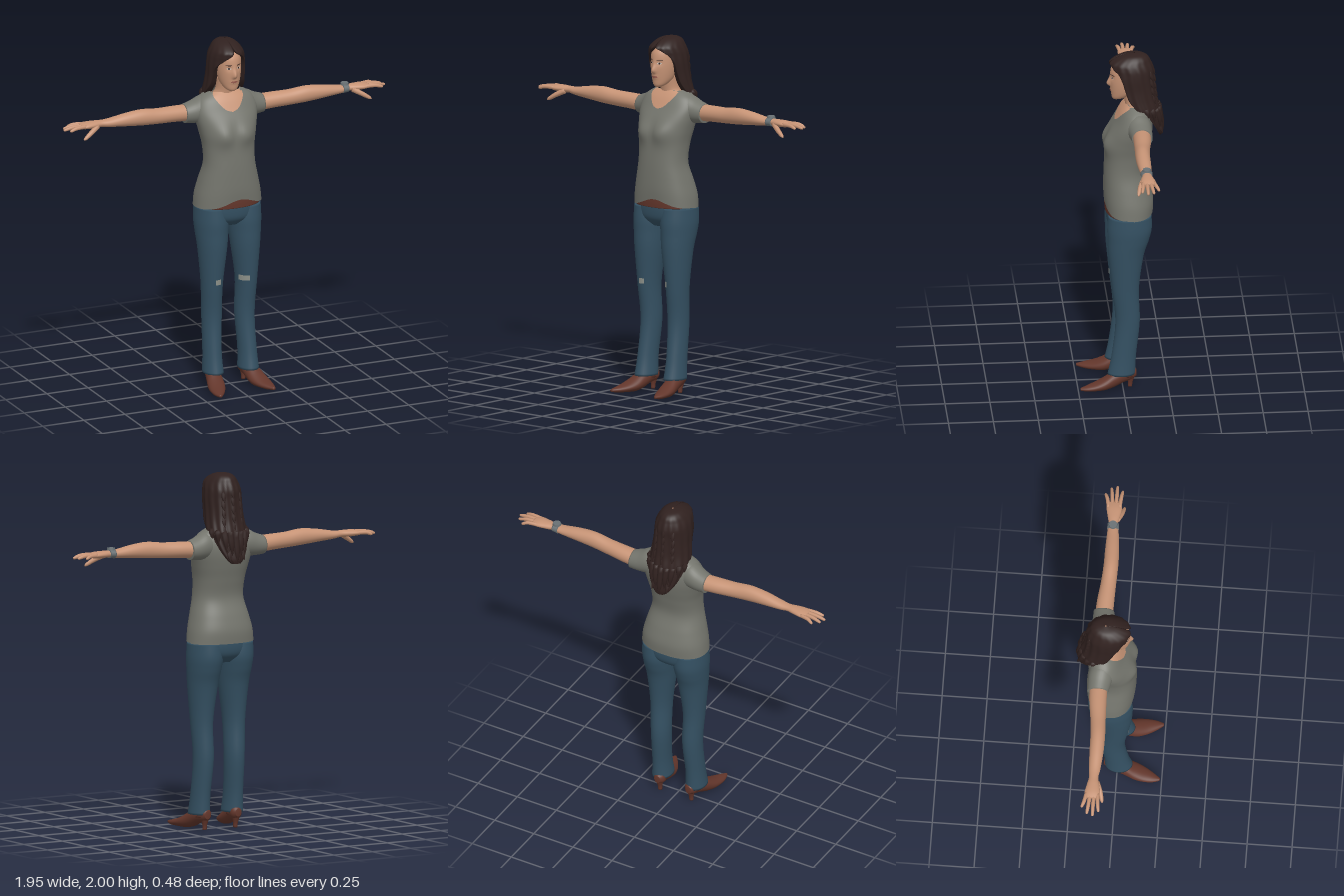
import * as THREE from 'three';

const material = (name, color, side = THREE.FrontSide) => {
  const m = new THREE.MeshStandardMaterial({ color, side });
  m.name = name;
  return m;
};
const rad = THREE.MathUtils.degToRad;
const bell = (v, width) => Math.exp(-((v / width) ** 2));

// Smoothly fills in steps between the given cross-section rows.
function dense(rows, k = 6) {
  const out = [];
  const at = (i) => rows[Math.min(Math.max(i, 0), rows.length - 1)];
  for (let i = 0; i < rows.length - 1; i++) {
    for (let s = 0; s < k; s++) {
      const t = s / k;
      out.push(rows[i].map((b, c) => {
        const a = at(i - 1)[c], n = at(i + 1)[c], d = at(i + 2)[c];
        return 0.5 * (2 * b + (n - a) * t + (2 * a - 5 * b + 4 * n - d) * t * t + (3 * b - a - 3 * n + d) * t ** 3);
      }));
    }
  }
  out.push(rows[rows.length - 1]);
  return out;
}

// Joins rings of points into a surface; side -1 mirrors it in x.
function skinRings(rings, { closed = true, caps = true, side = 1 } = {}) {
  const n = rings[0].length, pos = [], index = [];
  const tri = (a, b, c) => (side > 0 ? index.push(a, b, c) : index.push(a, c, b));
  rings.flat().forEach((p) => pos.push(p.x * side, p.y, p.z));
  for (let i = 0; i < rings.length - 1; i++) {
    for (let j = 0; j < (closed ? n : n - 1); j++) {
      const a = i * n + j, b = i * n + ((j + 1) % n);
      tri(a, b, b + n);
      tri(a, b + n, a + n);
    }
  }
  if (caps) {
    [0, rings.length - 1].forEach((r) => {
      const mid = rings[r].reduce((s, p) => s.add(p), new THREE.Vector3()).divideScalar(n);
      const c = pos.length / 3;
      pos.push(mid.x * side, mid.y, mid.z);
      for (let j = 0; j < n; j++) {
        const a = r * n + j, b = r * n + ((j + 1) % n);
        if (r === 0) tri(c, b, a); else tri(c, a, b);
      }
    });
  }
  const g = new THREE.BufferGeometry();
  g.setAttribute('position', new THREE.Float32BufferAttribute(pos, 3));
  g.setIndex(index);
  g.computeVertexNormals();
  return g;
}

// Rows are [position on axis, centre 1, centre 2, radius 1, radius 2].
function loft(rows, axis, { n = 32, e = 2, bend, ...rest } = {}) {
  const pw = (v) => Math.sign(v) * Math.abs(v) ** (2 / e);
  const rings = dense(rows).map(([p, c1, c2, r1, r2]) => Array.from({ length: n }, (_, j) => {
    const t = (j / n) * Math.PI * 2, c = pw(Math.cos(t)), s = pw(Math.sin(t));
    const v = axis === 'y' ? new THREE.Vector3(c1 + r1 * s, p, c2 + r2 * c)
      : axis === 'x' ? new THREE.Vector3(p, c1 + r1 * c, c2 + r2 * s)
        : new THREE.Vector3(c1 + r1 * c, c2 + r2 * s, p);
    if (bend) bend(v, c);
    return v;
  }));
  return skinRings(rings, rest);
}

// Round tapered limb through points [x, y, z, radius].
function limb(points, side = 1, n = 8) {
  const rows = dense(points, 3), v = rows.map((r) => new THREE.Vector3(r[0], r[1], r[2]));
  const whole = v[v.length - 1].clone().sub(v[0]).normalize();
  const ref = Math.abs(whole.y) > 0.7 ? new THREE.Vector3(1, 0, 0) : new THREE.Vector3(0, 1, 0);
  const rings = v.map((p, i) => {
    const d = v[Math.min(i + 1, v.length - 1)].clone().sub(v[Math.max(i - 1, 0)]).normalize();
    const u = ref.clone().addScaledVector(d, -ref.dot(d)).normalize(), w = d.clone().cross(u);
    return Array.from({ length: n }, (_, j) => {
      const t = (j / n) * Math.PI * 2;
      return p.clone().addScaledVector(u, rows[i][3] * Math.cos(t)).addScaledVector(w, rows[i][3] * Math.sin(t));
    });
  });
  return skinRings(rings, { side });
}

// Front depth of an upright loft at (x, y).
function frontZ(rows, x, y, e, bump) {
  const d = dense(rows);
  let i = d.findIndex((r) => r[0] >= y);
  i = i < 0 ? d.length - 1 : Math.max(i, 1);
  const t = THREE.MathUtils.clamp((y - d[i - 1][0]) / (d[i][0] - d[i - 1][0]), 0, 1);
  const [, , cz, rx, rz] = d[i].map((b, c) => THREE.MathUtils.lerp(d[i - 1][c], b, t));
  return cz + rz * Math.max(0, 1 - Math.abs(x / rx) ** e) ** (1 / e) + bump(x, y);
}

// Thin painted face: place(u, v) puts each corner, u and v from 0 to 1.
function patch(place, nu = 16, nv = 10) {
  const g = new THREE.PlaneGeometry(1, 1, nu, nv), p = g.attributes.position;
  for (let i = 0; i < p.count; i++) p.setXYZ(i, ...place(p.getX(i) + 0.5, p.getY(i) + 0.5));
  g.computeVertexNormals();
  return g;
}

export function createModel() {
  const model = new THREE.Group();
  const skin = material('skin', 0xc69375), shirt = material('grey shirt', 0x74756d, THREE.DoubleSide);
  const denim = material('blue denim', 0x34506280 >>> 8), leather = material('brown leather', 0x63362b);
  const hairMat = material('dark brown hair', 0x30211f, THREE.DoubleSide), worn = material('worn denim', 0x8b8f88);
  const metal = material('watch metal', 0x697174), white = material('eye white', 0xcfc6bd);
  const lip = material('lips', 0x9c5f52);
  denim.color.set(0x345062);
  const add = (name, geometry, mat, parent = model) => {
    const m = new THREE.Mesh(geometry, mat);
    m.name = name;
    parent.add(m);
    return m;
  };

  // Shirt body, with the hem lifted at the front
  const torso = [[1.05, 0, -0.039, 0.196, 0.134], [1.12, 0, -0.038, 0.188, 0.137], [1.2, 0, -0.028, 0.17, 0.128],
    [1.3, 0, -0.014, 0.147, 0.112], [1.4, 0, -0.025, 0.148, 0.116], [1.48, 0, -0.04, 0.163, 0.12],
    [1.55, 0, -0.055, 0.178, 0.117], [1.61, 0, -0.07, 0.183, 0.1], [1.66, 0, -0.078, 0.16, 0.08],
    [1.69, 0, -0.083, 0.118, 0.061], [1.7, 0, -0.084, 0.09, 0.052]];
  const bust = (x, y) => 0.027 * bell(Math.abs(x) - 0.065, 0.06) * bell(y - 1.475, 0.06);
  add('shirt', loft(torso, 'y', { n: 64, e: 2.3, caps: false, bend: (v, c) => {
    if (c <= 0) return;
    v.z += bust(v.x, v.y) * Math.min(1, c * 3);
    v.y += 0.05 * bell(v.x - 0.025, 0.11) * Math.max(0, 1 - (v.y - 1.05) / 0.15);
  } }), shirt);
  add('neckline', patch((u, v) => {
    const y = 1.6 + 0.1 * v, x = (u - 0.5) * 2 * Math.min(0.1 * Math.sqrt(v), 0.088);
    return [x, y, frontZ(torso, x, y, 2.3, bust) + 0.004];
  }), skin);
  add('neck', loft([[1.62, 0, -0.08, 0.09, 0.055], [1.67, 0, -0.078, 0.076, 0.055], [1.71, 0, -0.07, 0.053, 0.052],
    [1.78, 0, -0.055, 0.05, 0.052]], 'y'), skin);

  // Hips and belt
  add('jeansHips', loft([[0.94, 0, -0.035, 0.09, 0.075], [0.98, 0, -0.037, 0.165, 0.115], [1.03, 0, -0.038, 0.188, 0.127],
    [1.1, 0, -0.037, 0.18, 0.126]], 'y', { n: 48, e: 2.2 }), denim);
  add('belt', loft([[1.052, 0, -0.037, 0.186, 0.13], [1.08, 0, -0.037, 0.185, 0.131], [1.115, 0, -0.037, 0.181, 0.13]], 'y',
    { n: 48, e: 2.2 }), leather);

  const leg = [[0.085, 0.107, 0.008, 0.057, 0.077], [0.2, 0.106, -0.006, 0.051, 0.068], [0.4, 0.1, -0.027, 0.055, 0.068],
    [0.6, 0.104, -0.015, 0.06, 0.075], [0.8, 0.1, -0.018, 0.08, 0.098], [0.9, 0.099, -0.031, 0.09, 0.115],
    [0.97, 0.098, -0.038, 0.095, 0.124], [1.05, 0.098, -0.04, 0.092, 0.12]];
  for (const [side, label] of [[1, 'left'], [-1, 'right']]) {
    const o = { side };
    // Leg and heeled boot
    add(label + 'JeansLeg', loft(leg, 'y', o), denim);
    add(label + 'Boot', loft([[-0.075, 0.1, 0.085, 0.018, 0.022], [-0.05, 0.1, 0.085, 0.035, 0.038], [0, 0.11, 0.077, 0.041, 0.045],
      [0.05, 0.118, 0.056, 0.046, 0.046], [0.1, 0.128, 0.036, 0.051, 0.036], [0.15, 0.14, 0.025, 0.045, 0.024],
      [0.2, 0.153, 0.019, 0.029, 0.016], [0.24, 0.162, 0.018, 0.008, 0.007]], 'z', o), leather);
    add(label + 'BootShaft', loft([[0.07, 0.105, -0.015, 0.04, 0.05], [0.16, 0.105, -0.012, 0.042, 0.052]], 'y', o), leather);
    add(label + 'BootHeel', limb([[0.1, 0, -0.04, 0.012], [0.1, 0.03, -0.042, 0.014], [0.1, 0.075, -0.045, 0.027]], side, 12), leather);

    // Sleeve, arm and hand
    add(label + 'Sleeve', loft([[0.09, 1.602, -0.083, 0.078, 0.068], [0.14, 1.6, -0.087, 0.077, 0.07], [0.19, 1.588, -0.094, 0.064, 0.064],
      [0.238, 1.582, -0.099, 0.053, 0.057]], 'x', o), shirt);
    add(label + 'Arm', loft([[0.2, 1.585, -0.098, 0.047, 0.05], [0.3, 1.59, -0.094, 0.045, 0.048], [0.4, 1.594, -0.086, 0.044, 0.043],
      [0.5, 1.602, -0.08, 0.046, 0.041], [0.6, 1.602, -0.08, 0.037, 0.039], [0.7, 1.598, -0.083, 0.024, 0.032],
      [0.75, 1.6, -0.085, 0.019, 0.026], [0.79, 1.6, -0.085, 0.02, 0.034], [0.84, 1.6, -0.086, 0.018, 0.043],
      [0.875, 1.599, -0.088, 0.012, 0.038]], 'x', o), skin);
    const tips = [[0.95, -0.046], [0.976, -0.076], [0.965, -0.108], [0.93, -0.138]];
    tips.forEach(([x, z], i) => {
      const z0 = -0.057 - i * 0.02;
      add(label + 'Finger', limb([[0.845, 1.601, z0, 0.011], [(0.86 + x) / 2, 1.601, (z0 + z) / 2, 0.0105],
        [x - 0.008, 1.592, z, 0.008], [x, 1.59, z, 0.003]], side), skin);
    });
    add(label + 'Thumb', limb([[0.775, 1.592, -0.066, 0.016], [0.82, 1.568, -0.044, 0.014], [0.86, 1.543, -0.032, 0.01],
      [0.874, 1.535, -0.029, 0.003]], side), skin);

    // Worn patch wrapped on the knee
    const [from, to] = side > 0 ? [-68, -10] : [-8, 22];
    add(label + 'KneePatch', patch((u, v) => {
      const t = rad(from + (to - from) * u);
      return [side * 0.104 + 0.064 * Math.sin(t), 0.606 + 0.03 * v, -0.015 + 0.0795 * Math.cos(t)];
    }, 8, 2), worn);
  }

  // Watch on the left wrist
  add('watchBand', loft([[0.718, 1.599, -0.084, 0.026, 0.034], [0.752, 1.6, -0.085, 0.024, 0.031]], 'x'), metal);
  const dial = add('watchDial', new THREE.CylinderGeometry(0.022, 0.024, 0.012, 20), metal);
  dial.position.set(0.735, 1.627, -0.085);

  // Head with nose, eye sockets and lips shaped in
  const headRows = [[1.724, 0, 0.028, 0.016, 0.018], [1.738, 0, 0.012, 0.037, 0.042], [1.77, 0, -0.01, 0.055, 0.068],
    [1.82, 0, -0.021, 0.066, 0.084], [1.87, 0, -0.028, 0.07, 0.091], [1.92, 0, -0.035, 0.068, 0.09],
    [1.96, 0, -0.045, 0.055, 0.07], [1.985, 0, -0.05, 0.02, 0.03]];
  const features = (x, y) => 0.021 * bell(x, 0.012) * bell(y - 1.816, y > 1.816 ? 0.032 : 0.011)
    - 0.006 * bell(Math.abs(x) - 0.028, 0.015) * bell(y - 1.86, 0.013) + 0.004 * bell(x, 0.02) * bell(y - 1.782, 0.01);
  add('head', loft(headRows, 'y', { n: 72, bend: (v, c) => { if (c > 0) v.z += features(v.x, v.y) * Math.min(1, c * 3); } }), skin);
  const decal = (name, x, y, w, h, off, mat) => {
    const g = new THREE.CircleGeometry(1, 20), p = g.attributes.position;
    for (let i = 0; i < p.count; i++) {
      const px = x + p.getX(i) * w, py = y + p.getY(i) * h;
      p.setXYZ(i, px, py, frontZ(headRows, px, py, 2, features) + off);
    }
    g.computeVertexNormals();
    add(name, g, mat);
  };
  for (const s of [1, -1]) {
    decal('eye', s * 0.029, 1.86, 0.012, 0.005, 0.002, white);
    decal('iris', s * 0.029, 1.86, 0.005, 0.005, 0.0035, hairMat);
    decal('eyebrow', s * 0.03, 1.879, 0.016, 0.0025, 0.002, hairMat);
  }
  decal('mouth', 0, 1.782, 0.02, 0.006, 0.002, lip);

  // Hair: sheet open at the face; rows end with the opening angles left and right
  const hairRows = [[1.505, -0.208, 0.03, 0.02, 100, 100], [1.53, -0.193, 0.058, 0.036, 105, 105], [1.58, -0.168, 0.088, 0.053, 103, 103],
    [1.64, -0.135, 0.108, 0.08, 98, 98], [1.68, -0.102, 0.118, 0.108, 85, 85], [1.74, -0.08, 0.112, 0.114, 70, 70],
    [1.8, -0.068, 0.106, 0.118, 65, 64], [1.86, -0.06, 0.104, 0.12, 60, 56], [1.9, -0.058, 0.1, 0.121, 48, 34],
    [1.925, -0.053, 0.095, 0.12, 32, 16], [1.95, -0.049, 0.085, 0.114, 8, 2], [1.975, -0.06, 0.067, 0.09, 0, 0],
    [1.992, -0.068, 0.043, 0.055, 0, 0], [2, -0.072, 0.004, 0.005, 0, 0]];
  const columns = 72;
  add('hair', skinRings(dense(hairRows).map(([y, cz, rx, rz, l, r]) => Array.from({ length: columns + 1 }, (_, j) => {
    const k = THREE.MathUtils.clamp((j - 1) / (columns - 2), 0, 1);
    const t = rad(THREE.MathUtils.lerp(Math.max(l, 0), 360 - Math.max(r, 0), k));
    const inner = j === 0 || j === columns ? 0.62 : 1 + 0.022 * Math.sin(15 * t + y * 9) * Math.min(1, (2 - y) * 12);
    return new THREE.Vector3(rx * inner * Math.sin(t), y, cz + rz * inner * Math.cos(t));
  })), { closed: false, caps: false }), hairMat);

  // Loose locks: small flicks down the back and tips along the ends
  const smooth = dense(hairRows);
  const spot = (y, deg) => {
    const r = smooth.reduce((b, q) => (Math.abs(q[0] - y) < Math.abs(b[0] - y) ? q : b));
    return [r[3 - 1] * Math.sin(rad(deg)), r[1] + r[3] * Math.cos(rad(deg))];
  };
  for (let i = 0; i < 8; i++) {
    for (const deg of [150, 180, 210]) {
      const y = 1.92 - i * 0.046 - (deg === 180 ? 0 : 0.02), [x, z] = spot(y, deg);
      add('hairFlick', limb([[x * 0.9, y, z + 0.012, 0.012], [x, y - 0.03, z, 0.012], [x * 1.05, y - 0.055, z - 0.014, 0.001]]), hairMat);
    }
  }
  for (let i = 0; i < 9; i++) {
    const deg = 108 + i * 18, end = 1.51 + 0.11 * Math.abs(i - 4) / 4 + 0.012 * (i % 2);
    const [x, z] = spot(1.68, deg), [x2, z2] = spot(end + 0.06, deg);
    add('hairLock', limb([[x * 0.92, 1.68, z + 0.005, 0.018], [x2, end + 0.06, z2, 0.016], [x2 * 0.95, end, z2 - 0.008, 0.001]]), hairMat);
  }
  return model;
}
